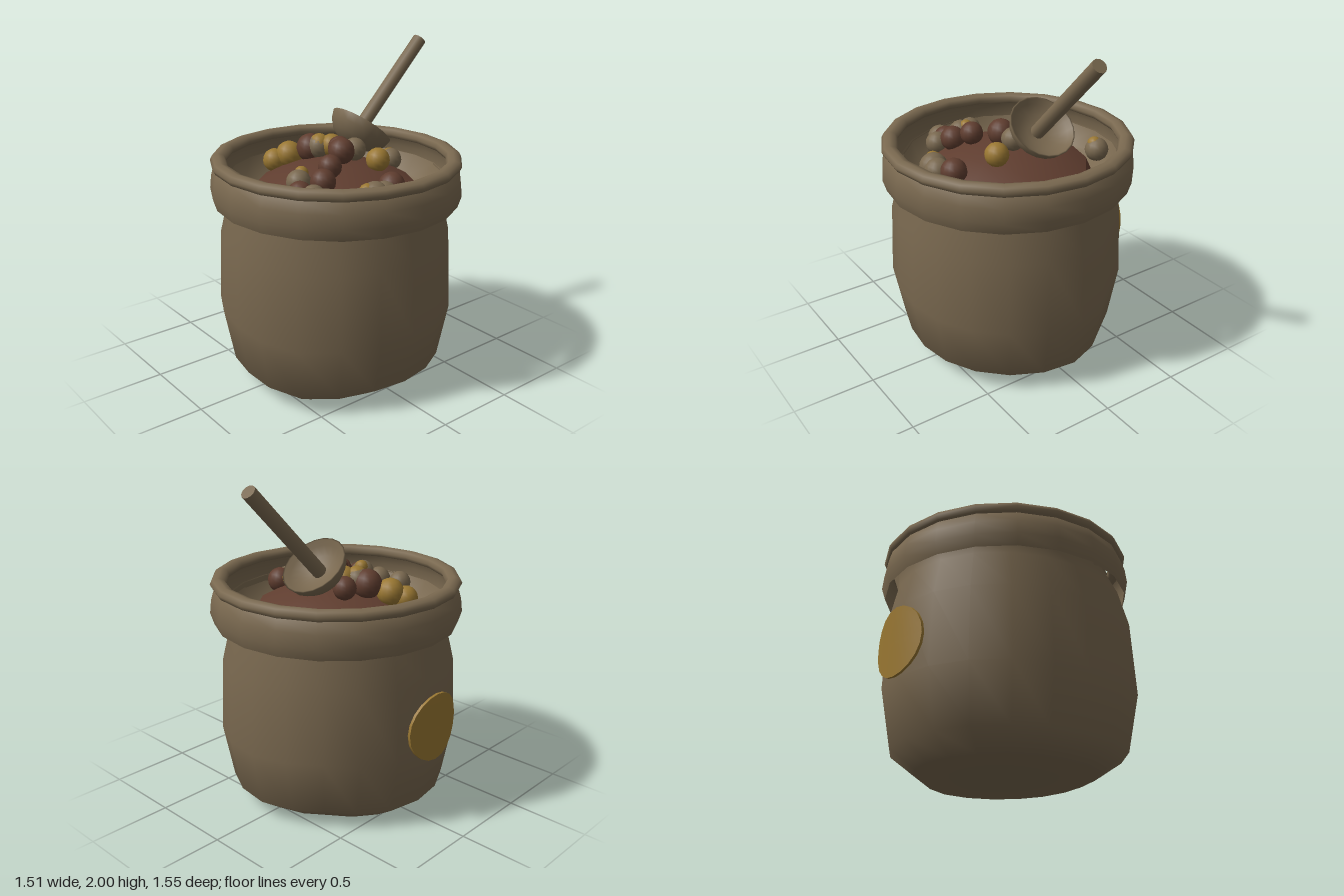
import * as THREE from 'three';

const mat = (name, color) => {
  const m = new THREE.MeshStandardMaterial({ color, side: THREE.DoubleSide });
  m.name = name;
  return m;
};

export function createModel() {
  const model = new THREE.Group();
  const beige = mat('beige cloth', 0x79684f);
  const brown = mat('brown filling', 0x5f3d2f);
  const gold = mat('gold', 0x997732);

  const add = (name, geometry, material, x = 0, y = 0, z = 0, parent = model) => {
    const mesh = new THREE.Mesh(geometry, material);
    mesh.name = name;
    mesh.position.set(x, y, z);
    parent.add(mesh);
    return mesh;
  };
  const lathe = (profile, sides) =>
    new THREE.LatheGeometry(profile.map(([r, y]) => new THREE.Vector2(r, y)), sides);

  // Sack body, sagging towards one front corner and dented opposite, round again at the lip
  const sack = lathe([[0, 0], [0.3, 0], [0.51, 0.005], [0.66, 0.11], [0.722, 0.44], [0.702, 0.88],
    [0.65, 1.1], [0.652, 1.18], [0.655, 1.24]], 20);
  const sp = sack.attributes.position;
  for (let i = 0; i < sp.count; i++) {
    const x = sp.getX(i), y = sp.getY(i), z = sp.getZ(i);
    const sag = Math.cos(Math.atan2(z, x) - 0.8 * Math.PI) ** 11;
    const fade = THREE.MathUtils.clamp((1.24 - y) / 0.14, 0, 1);
    const k = 1 + 0.11 * sag * fade;
    sp.setXYZ(i, x * k, y, z * k);
  }
  add('sackBody', sack, beige, 0.013, 0, -0.015);
  add('sackLining', lathe([[0.5, 1.07], [0.6, 1.12], [0.655, 1.24]], 20), beige, 0.01, 0, 0);

  // Loose cuff hanging from the rolled rim
  add('cuff', lathe([[0.735, 1.1], [0.757, 1.17], [0.748, 1.25], [0.73, 1.31], [0.7, 1.34]], 20),
    beige, 0, 0, 0.012);
  const rim = add('rim', new THREE.TorusGeometry(0.703, 0.048, 8, 20), beige, 0, 1.345, 0.012);
  rim.rotation.x = Math.PI / 2;
  rim.scale.z = 0.75;

  // Domed filling with a steep side
  add('fillingSide', lathe([[0.545, 1.04], [0.48, 1.19]], 14), brown, 0, 0, 0.01);
  add('fillingDome', lathe([[0.48, 1.19], [0.4, 1.235], [0.28, 1.285], [0.15, 1.32], [0, 1.335]], 14),
    brown, 0, 0, 0.01);

  // Balls resting on the dome: x, z, colour, radius, extra height
  const balls = [
    [-0.17, -0.39, gold, 0.072], [-0.1, -0.33, gold, 0.082], [-0.01, -0.23, brown, 0.088],
    [0.01, -0.17, beige, 0.075], [0.06, -0.11, gold, 0.07], [0.04, -0.01, brown, 0.068],
    [0, 0.06, brown, 0.08], [0.11, 0.05, beige, 0.07], [0.165, 0.2, gold, 0.072],
    [0.14, -0.19, brown, 0.07], [0.185, -0.525, beige, 0.073], [0.54, -0.1, beige, 0.072],
    [-0.525, -0.05, beige, 0.07], [-0.56, 0.155, beige, 0.075], [-0.49, 0.13, beige, 0.07, -0.07],
    [-0.36, 0.12, beige, 0.072], [-0.41, 0.2, brown, 0.072], [-0.27, 0.23, brown, 0.075],
    [-0.165, 0.16, brown, 0.07], [-0.375, 0.28, beige, 0.07], [-0.09, 0.47, beige, 0.085],
    [-0.03, 0.48, beige, 0.078], [0.07, 0.43, brown, 0.078],
  ];
  const ballHeight = (x, z) => {
    const s = x * x + z * z;
    return 1.4 - 0.85 * s + 0.75 * s * s;
  };
  for (const [x, z, m, r, lift = 0] of balls) {
    add('ball', new THREE.SphereGeometry(r, 14, 10), m, x, ballHeight(x, z) + lift, z);
  }
  // Gold spots peeking out of some beige balls: x, z, radius, lift
  const spots = [[0.01, -0.165, 0.065, 0.014], [0.173, -0.516, 0.046, 0.028], [0.54, -0.112, 0.06, 0.013],
    [-0.325, 0.1, 0.042, 0.022], [-0.13, 0.45, 0.05, 0.022]];
  for (const [x, z, r, lift] of spots) {
    add('ballSpot', new THREE.SphereGeometry(r, 12, 8), gold, x, ballHeight(x, z) + lift, z);
  }

  // Ladle: local y points out of the bowl
  const ladle = new THREE.Group();
  ladle.name = 'ladle';
  ladle.position.set(0.255, 1.49, -0.055);
  ladle.quaternion.setFromUnitVectors(new THREE.Vector3(0, 1, 0), new THREE.Vector3(0.63, 0.77, 0).normalize());
  model.add(ladle);
  add('ladleBowl', lathe([[0, -0.15], [0.08, -0.138], [0.145, -0.1], [0.185, -0.05], [0.2, 0],
    [0.19, 0], [0.17, -0.03], [0.12, -0.065], [0.06, -0.085], [0, -0.09]], 20), beige, 0, 0, 0, ladle);
  const handle = new THREE.CylinderGeometry(0.043, 0.043, 0.74, 12).translate(0, 0.3, 0);
  add('ladleHandle', handle, beige, 0, 0, 0, ladle).rotation.z = -0.085;

  // Round patch on the back, bent around the sack: two faces and a thin edge
  const bend = (geometry, z, curve) => {
    const p = geometry.attributes.position;
    for (let i = 0; i < p.count; i++) p.setZ(i, p.getZ(i) + z + curve * p.getX(i) ** 2);
    geometry.computeVertexNormals();
    return geometry;
  };
  const disc = () => new THREE.RingGeometry(0, 0.204, 20, 6);
  add('patchOuter', bend(disc().rotateY(Math.PI), -0.78, 0.75), gold, 0, 0.625, 0);
  add('patchInner', bend(disc(), -0.764, 0.75), gold, 0, 0.625, 0);
  const edge = new THREE.CylinderGeometry(0.204, 0.204, 0.016, 20, 1, true).rotateX(Math.PI / 2);
  add('patchEdge', bend(edge, -0.772, 0.75), gold, 0, 0.625, 0);

  return model;
}
